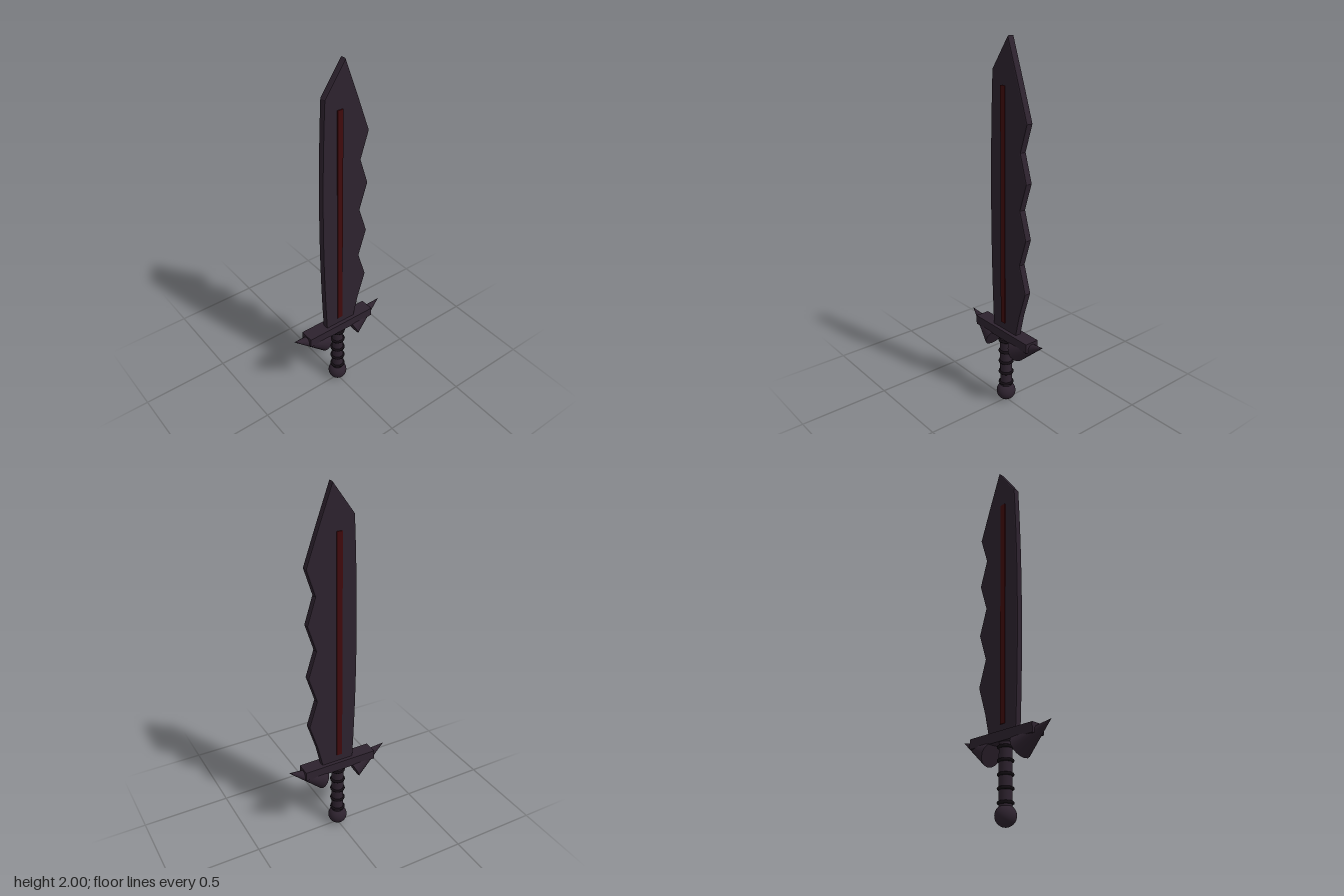
import * as THREE from 'three';

export function createModel() {
  const group = new THREE.Group();
  const mat = (name, color) => {
    const m = new THREE.MeshStandardMaterial({ color });
    m.name = name;
    return m;
  };
  const steel = mat('dark plum steel', 0x2d222e);
  const red = mat('deep red', 0x400a0c);
  const black = mat('near black', 0x120c12);

  const add = (name, geometry, material, x = 0, y = 0, z = 0) => {
    const mesh = new THREE.Mesh(geometry, material);
    mesh.name = name;
    mesh.position.set(x, y, z);
    group.add(mesh);
    return mesh;
  };

  // Blade: bowed back edge, slanted point and four-toothed cutting edge
  const outline = new THREE.Shape();
  outline.moveTo(0.1, 0.43);
  outline.lineTo(0.105, 0.46);
  outline.lineTo(0.13, 0.57);
  for (let i = 0; i < 4; i++) {
    const y = 0.72 + i * 0.295;
    outline.lineTo(0.177, y);
    if (i < 3) outline.lineTo(0.13, y + 0.1475);
  }
  outline.lineTo(0.113, 1.785);
  outline.lineTo(0.033, 2.0);
  outline.lineTo(-0.085, 1.835);
  outline.quadraticCurveTo(-0.122, 1.14, -0.085, 0.43);
  outline.closePath();
  const bevel = 0.007;
  const bladeGeo = new THREE.ExtrudeGeometry(outline, {
    depth: 0.038 - 2 * bevel, curveSegments: 12,
    bevelEnabled: true, bevelThickness: bevel, bevelSize: bevel, bevelOffset: -bevel, bevelSegments: 2,
  });
  bladeGeo.translate(0, 0, -0.019 + bevel);
  add('blade', bladeGeo, steel);

  // Red inlay on both faces of the blade
  for (const s of [1, -1]) {
    add('bladeInlay', new THREE.BoxGeometry(0.032, 1.275, 0.008), red, 0, 1.1285, s * 0.02);
  }

  // Crossguard with a slanted spike at each end
  add('crossguard', new THREE.BoxGeometry(0.426, 0.052, 0.08), steel, 0, 0.426, 0);
  const up = new THREE.Vector3(0, 1, 0);
  for (const s of [1, -1]) {
    const base = new THREE.Vector3(s * 0.096, 0.359, 0);
    const tip = new THREE.Vector3(s * 0.297, 0.456, 0);
    const axis = tip.clone().sub(base);
    const length = axis.length();
    const spike = add(s > 0 ? 'leftGuardSpike' : 'rightGuardSpike',
      new THREE.ConeGeometry(0.064, length, 16), steel);
    spike.position.copy(base).add(tip).multiplyScalar(0.5);
    spike.quaternion.setFromUnitVectors(up, axis.normalize());
  }

  // Grip, its rings and the pommel
  add('grip', new THREE.CylinderGeometry(0.033, 0.033, 0.33, 24), steel, 0, 0.245, 0);
  for (let i = 0; i < 5; i++) {
    const ring = add('gripRing', new THREE.TorusGeometry(0.034, 0.008, 10, 28), black, 0, 0.112 + i * 0.0665, 0);
    ring.rotation.x = Math.PI / 2;
  }
  add('pommel', new THREE.SphereGeometry(0.053, 28, 18), steel, 0, 0.053, 0);

  return group;
}
